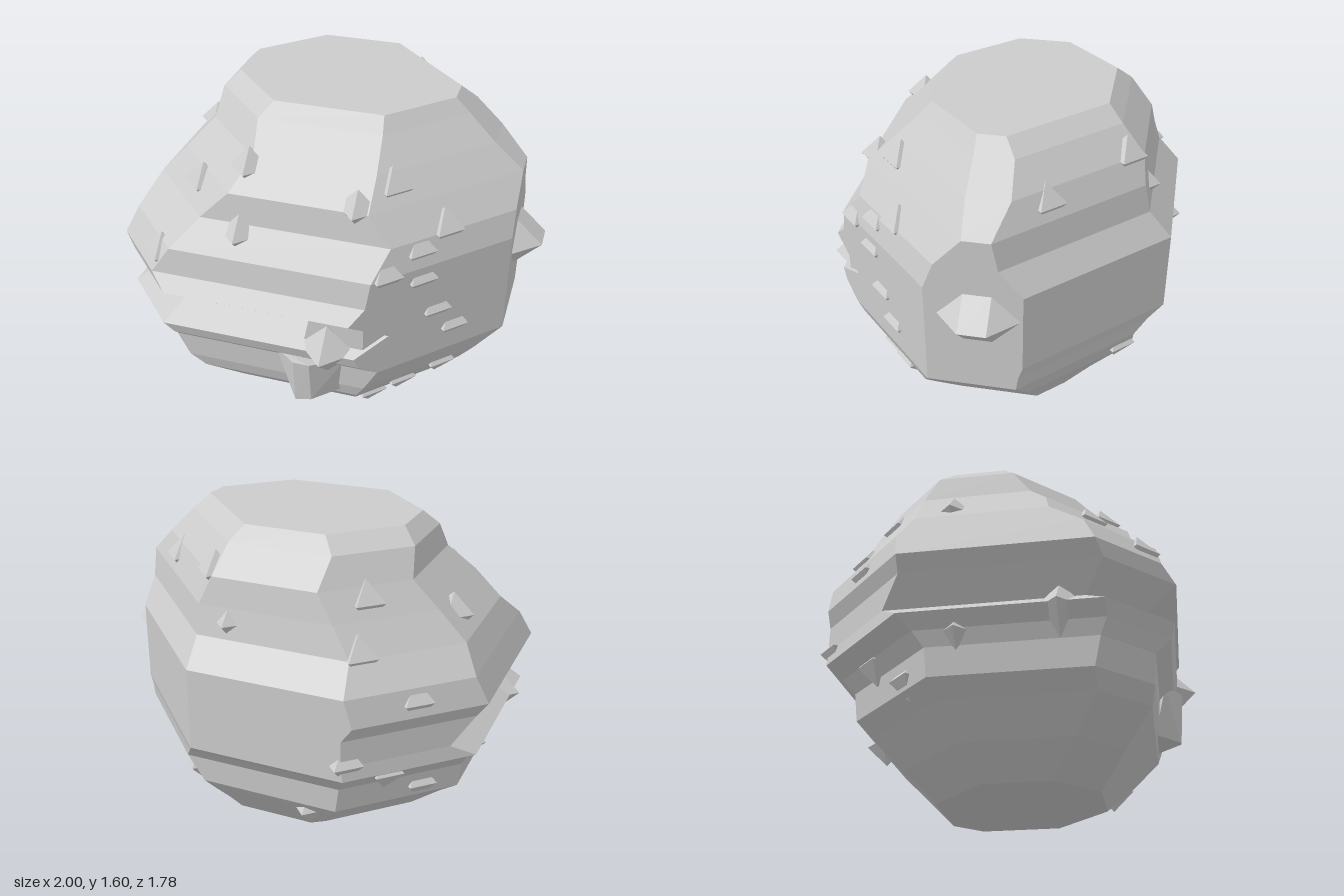
import * as THREE from 'three';
import { ConvexGeometry } from 'three/addons/geometries/ConvexGeometry.js';

const material = new THREE.MeshStandardMaterial({ color: 0xcccccc, flatShading: true });

// Horizontal sections: y, xMin, xMax, zMin, zMax, then the 45 degree corner cuts
// at (+x+z), (+x-z), (-x-z), (-x+z)
const sections = [
  [0.00, -0.40, 0.40, -0.40, 0.40, 0.27, 0.13, 0.27, 0.20],
  [0.13, -0.60, 0.53, -0.53, 0.53, 0.32, 0.27, 0.33, 0.20],
  [0.27, -0.76, 0.67, -0.67, 0.66, 0.42, 0.40, 0.42, 0.22],
  [0.34, -0.85, 0.74, -0.73, 0.68, 0.45, 0.45, 0.45, 0.24],
  [0.47, -0.87, 0.87, -0.74, 0.69, 0.51, 0.50, 0.45, 0.22],
  [0.54, -0.90, 0.87, -0.80, 0.76, 0.58, 0.55, 0.46, 0.26],
  [0.60, -0.96, 0.87, -0.87, 0.78, 0.60, 0.60, 0.47, 0.28],
  [0.67, -0.86, 0.87, -0.87, 0.65, 0.47, 0.60, 0.38, 0.24],
  [0.80, -0.95, 0.87, -0.87, 0.80, 0.62, 0.60, 0.47, 0.30],
  [0.87, -1.00, 0.87, -0.87, 0.74, 0.56, 0.60, 0.47, 0.27],
  [1.00, -0.94, 0.87, -0.87, 0.72, 0.54, 0.60, 0.45, 0.30],
  [1.13, -0.87, 0.87, -0.76, 0.61, 0.48, 0.60, 0.40, 0.35],
  [1.27, -0.74, 0.87, -0.73, 0.59, 0.59, 0.60, 0.36, 0.36],
  [1.40, -0.62, 0.73, -0.71, 0.46, 0.45, 0.52, 0.32, 0.32],
  [1.53, -0.60, 0.60, -0.60, 0.33, 0.33, 0.42, 0.28, 0.28],
  [1.60, -0.53, 0.53, -0.53, 0.27, 0.27, 0.40, 0.27, 0.27],
];

// Eight corners of one section, turning from +x towards +z
function ring([y, x0, x1, z0, z1, pp, pm, mm, mp]) {
  return [
    [x1, z0 + pm], [x1, z1 - pp], [x1 - pp, z1], [x0 + mp, z1],
    [x0, z1 - mp], [x0, z0 + mm], [x0 + mm, z0], [x1 - pm, z0],
  ].map(([x, z]) => [x, y, z]);
}

function createRockGeometry() {
  const rings = sections.map(ring);
  const positions = [];
  const triangle = (a, b, c) => positions.push(...a, ...b, ...c);
  for (let i = 0; i < rings.length - 1; i++) {
    for (let j = 0; j < 8; j++) {
      const k = (j + 1) % 8;
      const low = rings[i], high = rings[i + 1];
      triangle(low[j], high[j], low[k]);
      triangle(low[k], high[j], high[k]);
    }
  }
  // Flat top and bottom
  const top = rings[rings.length - 1], bottom = rings[0];
  for (let j = 1; j < 7; j++) {
    triangle(top[0], top[j + 1], top[j]);
    triangle(bottom[0], bottom[j], bottom[j + 1]);
  }
  const geometry = new THREE.BufferGeometry();
  geometry.setAttribute('position', new THREE.Float32BufferAttribute(positions, 3));
  geometry.computeVertexNormals();
  return geometry;
}

export function createModel() {
  const group = new THREE.Group();
  group.name = 'faceted boulder';

  const rock = new THREE.Mesh(createRockGeometry(), material);
  rock.name = 'rock body';
  group.add(rock);

  const bumps = new THREE.Group();
  bumps.name = 'rock bumps';
  group.add(bumps);
  const addPart = (name, geometry) => {
    const part = new THREE.Mesh(geometry, material);
    part.name = name;
    bumps.add(part);
    return part;
  };
  const hull = (points) => new ConvexGeometry(points.map((p) => new THREE.Vector3(...p)));

  // Ridge standing out of the side
  addPart('side ridge', hull([
    [1, 0.87, 0], [1, 0.87, -0.13], [0.86, 1, 0], [0.86, 1, -0.13],
    [0.86, 0.73, 0], [0.86, 0.73, -0.13], [0.86, 0.87, 0.13], [0.86, 0.87, -0.27],
  ]));

  // Wall that closes the mouth groove on its inner end
  addPart('groove end', hull([
    [0, 0.55, 0.73], [0.3, 0.55, 0.73], [0.06, 0.84, 0.73], [0.3, 0.84, 0.73],
    [0.6, 0.55, 0.43], [0.6, 0.84, 0.43], [0, 0.55, 0.5], [0.06, 0.84, 0.5],
  ]));

  // Corner of the jaw beside the recessed chin, with a pointed knob on it
  addPart('jaw corner', hull([
    [-0.13, 0.53, 0.72], [-0.02, 0.53, 0.8], [0.06, 0.53, 0.8], [0.2, 0.5, 0.68],
    [-0.1, 0.3, 0.66], [-0.02, 0.28, 0.78], [0.06, 0.3, 0.78], [0.2, 0.3, 0.64],
    [0, 0.4, 0.5],
  ]));
  addPart('jaw corner knob', new THREE.OctahedronGeometry(0.135)).position.set(0.13, 0.6, 0.735);
  addPart('lip end knob', new THREE.OctahedronGeometry(0.13)).position.set(-0.87, 0.6, 0.3);

  // Small chips, dropped onto the surface along a ray towards the upright axis: y, degrees from +x to +z
  const chips = [
    [1.27, 68], [1.33, 50], [1.07, 45], [1.00, 60], [0.93, 45], [0.73, 38],
    [1.13, 32], [0.60, 30], [1.35, 125], [1.08, 118], [0.93, 138],
    [1.20, 145], [0.33, 30], [0.27, 48], [0.13, 60], [1.33, -28], [1.40, -70],
    [1.20, -80], [0.40, -62], [1.13, -125], [1.33, -130],
    [0.93, -140], [0.67, -120], [0.53, -135], [0.40, -150], [0.27, -110],
    [0.53, -170], [1.20, -165],
  ];
  const ray = new THREE.Raycaster();
  rock.updateMatrixWorld();
  for (const [y, degrees] of chips) {
    const angle = THREE.MathUtils.degToRad(degrees);
    const outward = new THREE.Vector3(Math.cos(angle), 0, Math.sin(angle));
    const start = outward.clone().multiplyScalar(3).setY(y);
    ray.set(start, outward.clone().negate());
    const hit = ray.intersectObject(rock)[0];
    if (!hit) continue;
    const chip = addPart('surface chip', new THREE.OctahedronGeometry(0.1));
    chip.position.copy(hit.point).addScaledVector(outward, -0.05);
  }
  return group;
}
